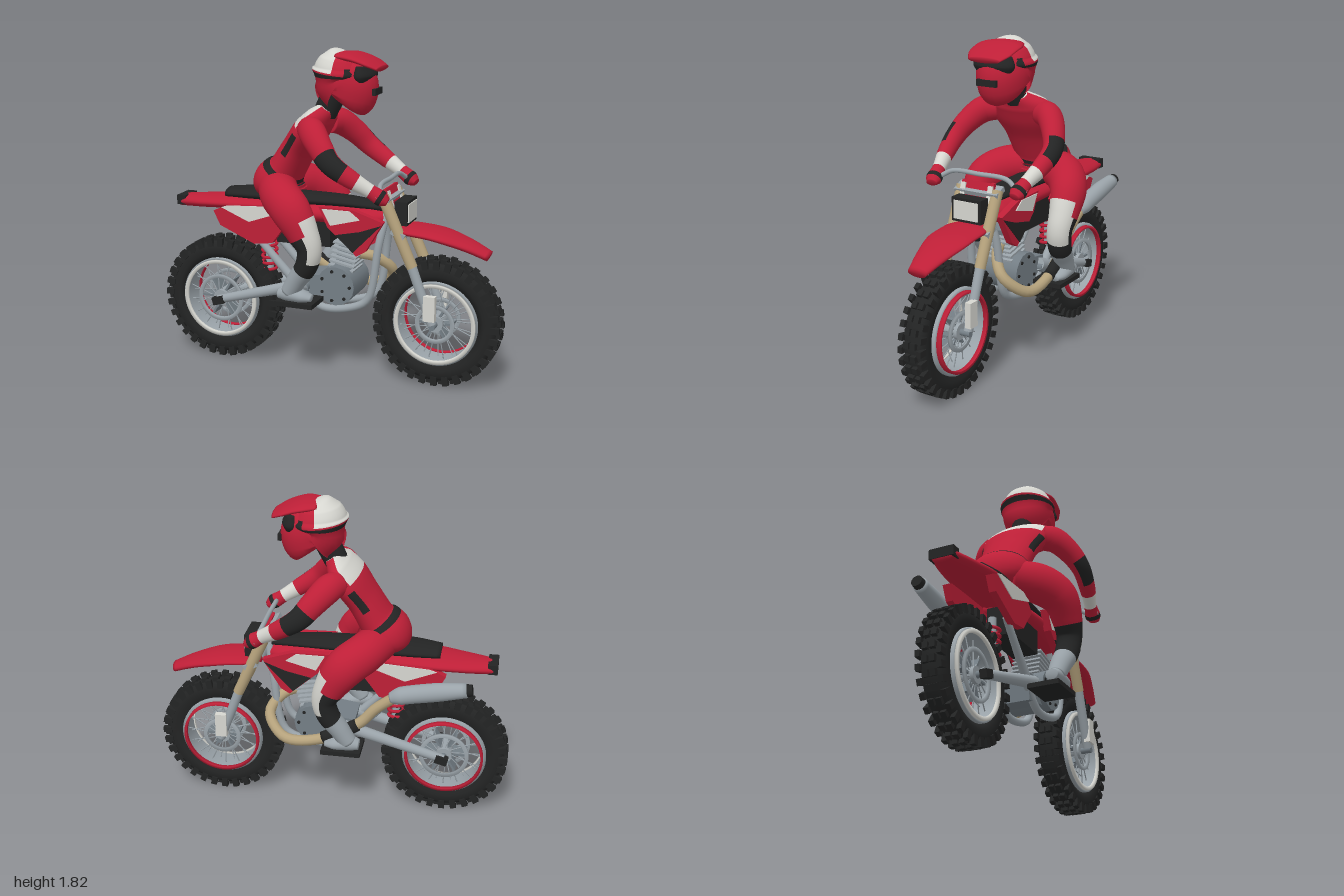
import * as THREE from 'three';
import { mergeGeometries } from 'three/addons/utils/BufferGeometryUtils.js';

const V = (p) => new THREE.Vector3(...p);
const mat = (name, color, side = THREE.FrontSide) => {
  const m = new THREE.MeshStandardMaterial({ color, side });
  m.name = name;
  return m;
};

export function createModel() {
  const root = new THREE.Group();
  root.name = 'motorcycleAndRider';
  const red = mat('red', 0xbe1f37), black = mat('black', 0x232424), white = mat('white', 0xd6d6d0);
  const silver = mat('silver', 0x9aa3a9), tan = mat('tan', 0xb5a27c), steel = mat('engine grey', 0x747e85);
  const suit = [red, black, white, silver];
  const RED = 0, BLACK = 1, WHITE = 2, SILVER = 3;

  const add = (name, geo, m, parent = root) => {
    const mesh = new THREE.Mesh(geo, m);
    mesh.name = name;
    parent.add(mesh);
    return mesh;
  };
  const box = (name, size, pos, m, tilt = 0) => {
    const b = add(name, new THREE.BoxGeometry(...size), m);
    b.position.set(...pos);
    b.rotation.z = tilt;
    return b;
  };
  const rodGeo = (a, b, r1, r2 = r1, n = 16) => {
    const d = V(b).sub(V(a));
    const g = new THREE.CylinderGeometry(r2, r1, d.length(), n);
    g.applyQuaternion(new THREE.Quaternion().setFromUnitVectors(V([0, 1, 0]), d.clone().normalize()));
    const mid = V(a).add(V(b)).multiplyScalar(0.5);
    return g.translate(mid.x, mid.y, mid.z);
  };
  const rod = (name, a, b, r1, r2, m) => add(name, rodGeo(a, b, r1, r2), m);
  const pipe = (name, pts, r, m) =>
    add(name, new THREE.TubeGeometry(new THREE.CatmullRomCurve3(pts.map(V)), 40, r, 12), m);

  // Elliptical loft: each row is x, y, z, radius across the path, radius sideways
  const limb = (name, rows, m, paint = () => 0, per = 8, n = 28) => {
    const path = new THREE.CatmullRomCurve3(rows.map((r) => V(r.slice(0, 3))));
    const size = new THREE.CatmullRomCurve3(rows.map((r) => V([r[3], r[4], 0])));
    const steps = (rows.length - 1) * per, mats = Array.isArray(m) ? m : [m];
    const pos = [], faces = mats.map(() => []), Z = V([0, 0, 1]);
    for (let i = 0; i <= steps; i++) {
      const t = i / steps, c = path.getPoint(t), s = size.getPoint(t), T = path.getTangent(t);
      const N = Z.clone().cross(T).normalize(), B = T.clone().cross(N);
      for (let j = 0; j < n; j++) {
        const a = (j / n) * Math.PI * 2;
        pos.push(...c.clone().addScaledVector(N, Math.cos(a) * s.x).addScaledVector(B, Math.sin(a) * s.y).toArray());
      }
    }
    for (let i = 0; i < steps; i++) {
      const t = (i + 0.5) / steps, c = path.getPoint(t);
      for (let j = 0; j < n; j++) {
        const k = (j + 1) % n, a = i * n + j, b = i * n + k;
        faces[paint(c, ((j + 0.5) / n) * Math.PI * 2, t)].push(a, b, a + n, b, b + n, a + n);
      }
    }
    for (const end of [0, 1]) {
      const at = pos.length / 3, base = end * steps * n;
      pos.push(...path.getPoint(end).toArray());
      const f = faces[paint(path.getPoint(end), 0, end)];
      for (let j = 0; j < n; j++) {
        const p = base + j, q = base + (j + 1) % n;
        f.push(at, end ? p : q, end ? q : p);
      }
    }
    const g = new THREE.BufferGeometry();
    g.setAttribute('position', new THREE.Float32BufferAttribute(pos, 3));
    g.setIndex(faces.flat());
    let start = 0;
    faces.forEach((f, i) => { g.addGroup(start, f.length, i); start += f.length; });
    g.computeVertexNormals();
    return add(name, g, mats);
  };
  const plate = (name, pts, z, depth, m) => {
    const g = new THREE.ExtrudeGeometry(new THREE.Shape(pts.map((p) => new THREE.Vector2(...p))), { depth, bevelEnabled: false });
    return add(name, g.translate(0, 0, z - depth / 2), m);
  };
  // Ring around the z axis with a rectangular section
  const ring = (r0, r1, z0, z1) => new THREE.LatheGeometry(
    [[r0, z0], [r1, z0], [r1, z1], [r0, z1], [r0, z0]].map((p) => new THREE.Vector2(...p)), 56).rotateX(Math.PI / 2);

  // Wheels
  const wheel = (name, x, discR) => {
    const w = new THREE.Group();
    w.name = name;
    w.position.set(x, 0.36, 0);
    root.add(w);
    const prof = [[0.235, -0.05], [0.27, -0.066], [0.31, -0.064], [0.333, -0.045], [0.34, 0], [0.333, 0.045],
      [0.31, 0.064], [0.27, 0.066], [0.235, 0.05], [0.235, -0.05]];
    add('tyre', new THREE.LatheGeometry(prof.map((p) => new THREE.Vector2(...p)), 64).rotateX(Math.PI / 2), black, w);
    const knobs = [], spokes = [];
    for (let i = 0; i < 32; i++) {
      const a = (i / 32) * Math.PI * 2;
      for (const s of [-1, 1]) {
        knobs.push(new THREE.BoxGeometry(0.05, 0.034, 0.026).translate(0.331, 0, s * 0.058).rotateZ(a));
        knobs.push(new THREE.BoxGeometry(0.024, 0.034, 0.03).translate(0.346, 0, s * 0.02).rotateZ(a + Math.PI / 32));
        const e = a + (i % 2 ? 0.3 : -0.3);
        if (i % 2 === (s + 1) / 2) spokes.push(rodGeo([0.04 * Math.cos(e), 0.04 * Math.sin(e), s * 0.05],
          [0.215 * Math.cos(a), 0.215 * Math.sin(a), s * 0.02], 0.0032, 0.0032, 6));
      }
    }
    add('treadKnobs', mergeGeometries(knobs), black, w);
    add('spokes', mergeGeometries(spokes), silver, w);
    add('rim', ring(0.215, 0.238, -0.07, 0.07), silver, w);
    add('rimBandWhite', ring(0.208, 0.228, 0.07, 0.085), white, w);
    add('rimBandRed', ring(0.208, 0.222, -0.095, -0.07), red, w);
    add('hub', new THREE.CylinderGeometry(0.045, 0.045, 0.14, 24).rotateX(Math.PI / 2), silver, w);
    add('axle', new THREE.CylinderGeometry(0.018, 0.018, 0.26, 16).rotateX(Math.PI / 2), steel, w);
    for (const s of [-1, 1]) add('brakeDisc', ring(discR - 0.022, discR, s * 0.068 - 0.006, s * 0.068 + 0.006), silver, w);
    add('discCarrier', mergeGeometries([0, 1, 2, 3, 4, 5].map((i) =>
      new THREE.BoxGeometry(discR - 0.05, 0.012, 0.1).translate(discR / 2 + 0.01, 0, 0).rotateZ(i * Math.PI / 3))), steel, w);
  };
  wheel('rearWheel', -0.645, 0.14);
  wheel('frontWheel', 0.645, 0.11);

  // Fenders, tank and seat
  limb('rearFender', [[-0.91, 0.915, 0, 0.035, 0.065], [-0.75, 0.925, 0, 0.038, 0.105],
    [-0.55, 0.94, 0, 0.04, 0.135], [-0.25, 0.945, 0, 0.04, 0.13]], red);
  limb('frontFender', [[0.4, 0.87, 0, 0.02, 0.08], [0.5, 0.865, 0, 0.028, 0.125], [0.64, 0.85, 0, 0.03, 0.125],
    [0.8, 0.805, 0, 0.03, 0.09], [0.92, 0.755, 0, 0.026, 0.055]], red);
  box('tailLight', [0.055, 0.055, 0.14], [-0.885, 0.925, 0], black);
  limb('seat', [[-0.6, 0.985, 0, 0.03, 0.08], [-0.42, 0.995, 0, 0.036, 0.105], [-0.2, 0.99, 0, 0.035, 0.1],
    [0.1, 0.99, 0, 0.03, 0.085], [0.34, 0.975, 0, 0.025, 0.05]], black);
  limb('tank', [[-0.28, 0.91, 0, 0.05, 0.1], [0.05, 0.92, 0, 0.06, 0.12], [0.24, 0.91, 0, 0.065, 0.12], [0.36, 0.92, 0, 0.04, 0.06]], red);
  box('airBox', [0.32, 0.17, 0.15], [-0.12, 0.82, 0], black);

  for (const s of [-1, 1]) {
    // Side panels and tank shrouds
    plate('sidePanel', [[-0.64, 0.9], [-0.6, 0.82], [-0.39, 0.73], [-0.28, 0.745], [-0.18, 0.88], [-0.26, 0.96], [-0.55, 0.94]], s * 0.125, 0.04, red);
    plate('sidePanelWhite', [[-0.59, 0.925], [-0.42, 0.855], [-0.22, 0.925], [-0.26, 0.955], [-0.55, 0.938]], s * 0.147, 0.006, white);
    plate('shroud', [[0, 0.98], [0.05, 0.87], [0.22, 0.72], [0.27, 0.75], [0.37, 0.92], [0.2, 0.975]], s * 0.13, 0.04, red);
    plate('shroudBlack', [[0.1, 0.83], [0.2, 0.74], [0.36, 0.905], [0.24, 0.86]], s * 0.152, 0.006, black);
    plate('shroudWhite', [[0.02, 0.97], [0.07, 0.88], [0.24, 0.925], [0.18, 0.97]], s * 0.152, 0.006, white);
    // Fork
    rod('upperFork', [0.355, 1.06, s * 0.11], [0.525, 0.68, s * 0.11], 0.033, 0.03, tan);
    rod('lowerFork', [0.52, 0.69, s * 0.11], [0.64, 0.37, s * 0.11], 0.027, 0.025, silver);
    box('forkGuard', [0.065, 0.14, 0.035], [0.63, 0.465, s * 0.125], white);
    // Frame and swingarm
    pipe('downTube', [[0.36, 0.98, s * 0.03], [0.325, 0.78, s * 0.08], [0.275, 0.48, s * 0.09], [0.22, 0.425, s * 0.09],
      [0, 0.39, s * 0.09], [-0.13, 0.49, s * 0.09]], 0.022, silver);
    rod('subframe', [-0.4, 0.77, s * 0.1], [-0.13, 0.49, s * 0.1], 0.019, 0.026, silver);
    rod('swingarm', [-0.08, 0.52, s * 0.105], [-0.645, 0.36, s * 0.105], 0.036, 0.024, silver);
    box('axleBlock', [0.07, 0.045, 0.04], [-0.635, 0.36, s * 0.115], black, 0.27);
    box('footpeg', [0.22, 0.026, 0.18], [-0.09, 0.452, s * 0.215], black);
  }
  rod('swingarmPivot', [-0.1, 0.5, -0.13], [-0.1, 0.5, 0.13], 0.03, 0.03, steel);
  rod('shockBody', [-0.36, 0.54, 0], [-0.36, 0.8, 0], 0.022, 0.022, silver);
  for (let i = 0; i < 6; i++) {
    const c = add('springCoil', new THREE.TorusGeometry(0.042, 0.009, 8, 24), red);
    c.rotation.x = Math.PI / 2 + 0.15;
    c.position.set(-0.36, 0.56 + i * 0.035, 0);
  }

  // Engine
  rod('crankcase', [0.09, 0.53, -0.13], [0.09, 0.53, 0.13], 0.11, 0.11, steel);
  box('gearbox', [0.22, 0.15, 0.2], [-0.02, 0.5, 0], steel, 0.15);
  box('cylinderBarrel', [0.1, 0.2, 0.1], [0.12, 0.69, 0], steel, -0.2);
  for (let i = 0; i < 6; i++) box('coolingFin', [0.15, 0.011, 0.17], [0.103 + i * 0.006, 0.62 + i * 0.027, 0], silver, -0.2);
  for (const s of [-1, 1]) for (let i = 0; i < 7; i++) {
    const a = (i / 7) * Math.PI * 2, x = 0.09 + 0.085 * Math.cos(a), y = 0.53 + 0.085 * Math.sin(a);
    rod('coverBolt', [x, y, s * 0.125], [x, y, s * 0.136], 0.009, 0.009, black);
  }

  // Exhaust
  pipe('exhaustPipe', [[0.14, 0.7, 0], [0.27, 0.67, -0.05], [0.34, 0.58, -0.13], [0.24, 0.48, -0.22], [0.04, 0.49, -0.225],
    [-0.18, 0.6, -0.2], [-0.27, 0.7, -0.2], [-0.38, 0.79, -0.21]], 0.03, tan);
  limb('heatShield', [[0.02, 0.505, -0.232, 0.036, 0.03], [-0.08, 0.545, -0.225, 0.04, 0.034], [-0.17, 0.595, -0.212, 0.036, 0.03]], black);
  limb('muffler', [[-0.35, 0.78, -0.21, 0.03, 0.03], [-0.41, 0.8, -0.21, 0.05, 0.048], [-0.58, 0.835, -0.21, 0.052, 0.048], [-0.76, 0.865, -0.21, 0.04, 0.04]], silver);
  rod('mufflerTip', [-0.75, 0.863, -0.21], [-0.79, 0.87, -0.21], 0.036, 0.032, black);

  // Front plate, headlight and handlebar
  box('numberPlate', [0.02, 0.24, 0.2], [0.395, 0.98, 0], red, 0.3);
  for (const s of [-1, 1]) box('plateStripe', [0.008, 0.2, 0.03], [0.408, 0.99, s * 0.085], white, 0.3);
  box('headlight', [0.07, 0.13, 0.18], [0.45, 0.965, 0], black);
  box('headlightLens', [0.008, 0.1, 0.15], [0.487, 0.965, 0], white);
  rod('steeringHead', [0.33, 1.07, 0], [0.42, 0.86, 0], 0.035, 0.035, silver);
  for (const y of [1.05, 0.86]) box('forkClamp', [0.08, 0.03, 0.27], [0.36 + (1.05 - y) * 0.45, y, 0], silver, -0.42);
  pipe('handlebar', [[0.38, 1.085, -0.31], [0.38, 1.09, -0.25], [0.36, 1.13, -0.17], [0.36, 1.135, 0],
    [0.36, 1.13, 0.17], [0.38, 1.09, 0.25], [0.38, 1.085, 0.31]], 0.013, silver);

  // Rider torso and neck
  limb('torso', [[-0.27, 1.0, 0, 0.09, 0.12], [-0.285, 1.07, 0, 0.15, 0.18], [-0.265, 1.12, 0, 0.13, 0.175],
    [-0.24, 1.155, 0, 0.1, 0.155], [-0.17, 1.27, 0, 0.09, 0.165], [-0.09, 1.385, 0, 0.088, 0.2],
    [-0.035, 1.455, 0, 0.07, 0.19], [0.005, 1.505, 0, 0.045, 0.075]], suit, (c, a) => {
    if (c.y > 1.125 && c.y < 1.15) return BLACK;
    if (c.y > 1.385 && Math.cos(a) > 0.35) return WHITE;
    return c.y > 1.24 && c.y < 1.36 && Math.cos(a) > -0.1 && Math.cos(a) < 0.5 ? BLACK : RED;
  });
  rod('neck', [-0.02, 1.47, 0], [0.05, 1.61, 0], 0.065, 0.07, black);

  for (const s of [-1, 1]) {
    limb('arm', [[-0.05, 1.405, s * 0.15, 0.07, 0.07], [-0.01, 1.395, s * 0.21, 0.076, 0.07], [0.06, 1.33, s * 0.275, 0.068, 0.062],
      [0.13, 1.255, s * 0.31, 0.06, 0.052], [0.24, 1.18, s * 0.3, 0.05, 0.045], [0.34, 1.12, s * 0.275, 0.038, 0.036],
      [0.395, 1.085, s * 0.265, 0.042, 0.045], [0.43, 1.065, s * 0.26, 0.02, 0.03]], suit, (c, a, t) => {
      const k = t * 7;
      if (k > 2.5 && k < 3.6 && Math.sin(a) * s > -0.1) return BLACK;
      if (k > 4.2 && k < 5) return WHITE;
      return k > 5.7 && k < 6.3 ? BLACK : RED;
    });
    limb('leg', [[-0.27, 1.055, s * 0.08, 0.1, 0.11], [-0.2, 1.03, s * 0.2, 0.11, 0.11], [-0.11, 0.975, s * 0.275, 0.11, 0.1],
      [-0.04, 0.87, s * 0.29, 0.09, 0.082], [0, 0.775, s * 0.285, 0.068, 0.07], [-0.02, 0.68, s * 0.275, 0.062, 0.068],
      [-0.08, 0.59, s * 0.265, 0.055, 0.058], [-0.13, 0.51, s * 0.26, 0.048, 0.048]], suit, (c, a) => {
      if (c.y < 0.64) return SILVER;
      if (c.y < 0.715) return BLACK;
      if (c.y < 0.85) return Math.cos(a) > 0.25 ? WHITE : BLACK;
      return c.y < 0.91 && Math.cos(a) > 0.4 ? WHITE : RED;
    });
    limb('boot', [[-0.19, 0.5, s * 0.26, 0.028, 0.035], [-0.14, 0.505, s * 0.26, 0.042, 0.046],
      [-0.06, 0.497, s * 0.257, 0.036, 0.05], [0, 0.487, s * 0.25, 0.018, 0.03]], silver);
  }

  // Helmet with peak, goggles and chin vent
  limb('helmet', [[0.085, 1.565, 0, 0.13, 0.11], [0.1, 1.585, 0, 0.172, 0.137], [0.105, 1.63, 0, 0.176, 0.143], [0.075, 1.655, 0, 0.147, 0.146],
    [0.075, 1.72, 0, 0.147, 0.146], [0.08, 1.77, 0, 0.12, 0.122], [0.085, 1.8, 0, 0.075, 0.08], [0.09, 1.812, 0, 0.02, 0.02]], suit, (c, a) => {
    const f = Math.cos(a);
    if (c.y > 1.645 && c.y < 1.735 && f < -0.4) return BLACK;
    if (c.y > 1.674 && c.y < 1.692) return BLACK;
    return c.y > 1.705 && f > 0.05 ? WHITE : RED;
  });
  limb('helmetPeak', [[0.07, 1.79, 0, 0.022, 0.1], [0.16, 1.783, 0, 0.026, 0.135], [0.25, 1.755, 0, 0.022, 0.13], [0.31, 1.727, 0, 0.016, 0.095]], red);
  limb('goggles', [[0.205, 1.635, 0, 0.02, 0.07], [0.21, 1.66, 0, 0.045, 0.11], [0.21, 1.69, 0, 0.06, 0.125], [0.21, 1.74, 0, 0.035, 0.11]], black);
  box('chinVent', [0.02, 0.035, 0.12], [0.28, 1.605, 0], black);
  return root;
}
